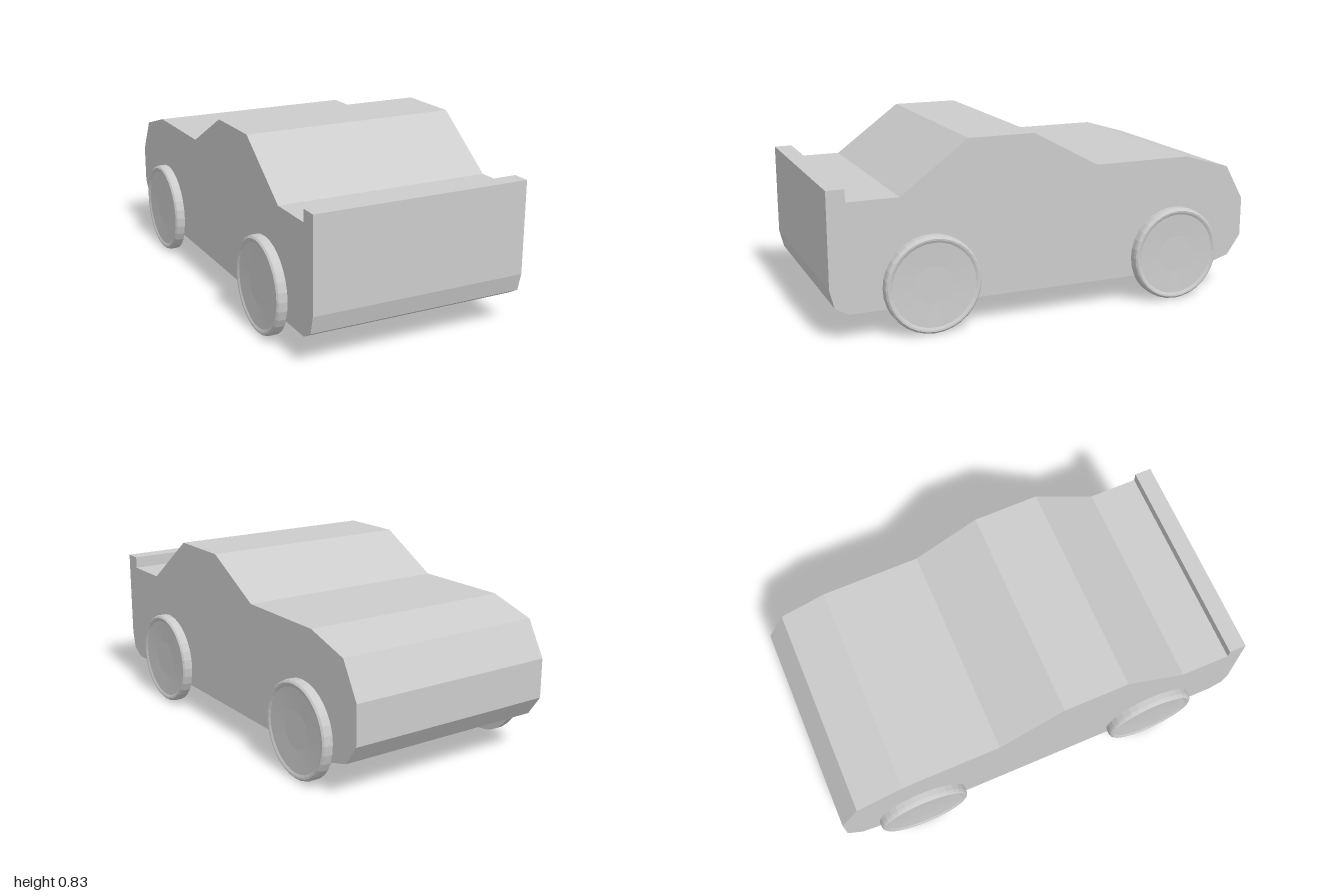
import * as THREE from 'three';

const material = new THREE.MeshStandardMaterial({ color: 0xcccccc, flatShading: true });

// Side profile as (z, y), extruded across the width
function makeBody() {
  const profile = [
    [1, 0.24], [1, 0.66], [0.92, 0.66], [0.92, 0.605], [0.69, 0.605], // spoiler and deck
    [0.385, 0.83], [0.08, 0.83], [-0.225, 0.665], // cabin
    [-0.69, 0.665], [-0.91, 0.6], [-1, 0.44], [-1, 0.26], [-0.935, 0.168], // sloping end
    [-0.79, 0.125], [0.92, 0.125], [0.98, 0.16], // underside
  ];
  const shape = new THREE.Shape(profile.map(([z, y]) => new THREE.Vector2(z, y)));
  const geometry = new THREE.ExtrudeGeometry(shape, { depth: 1, bevelEnabled: false });
  geometry.rotateY(-Math.PI / 2).translate(0.5, 0, 0);
  const body = new THREE.Mesh(geometry, material);
  body.name = 'body';
  return body;
}

// Thin wheel with rounded rim and a shallow dished face, turned about x
function makeWheelGeometry() {
  const profile = [
    [0, 0.497], [0.217, 0.497], [0.217, 0.527], [0.214, 0.538], [0.206, 0.545],
    [0.198, 0.544], [0.188, 0.539], [0.085, 0.534], [0, 0.534],
  ];
  const points = profile.map(([r, x]) => new THREE.Vector2(r, x));
  return new THREE.LatheGeometry(points, 32).rotateZ(-Math.PI / 2);
}

export function createModel() {
  const car = new THREE.Group();
  car.name = 'car';
  car.add(makeBody());

  const wheelGeometry = makeWheelGeometry();
  for (const [end, z] of [['front', 0.557], ['back', -0.627]]) {
    for (const side of ['Left', 'Right']) {
      const wheel = new THREE.Mesh(wheelGeometry, material);
      wheel.name = `${end}${side}Wheel`;
      wheel.position.set(0, 0.217, z);
      if (side === 'Right') wheel.rotation.y = Math.PI;
      car.add(wheel);
    }
  }
  return car;
}
